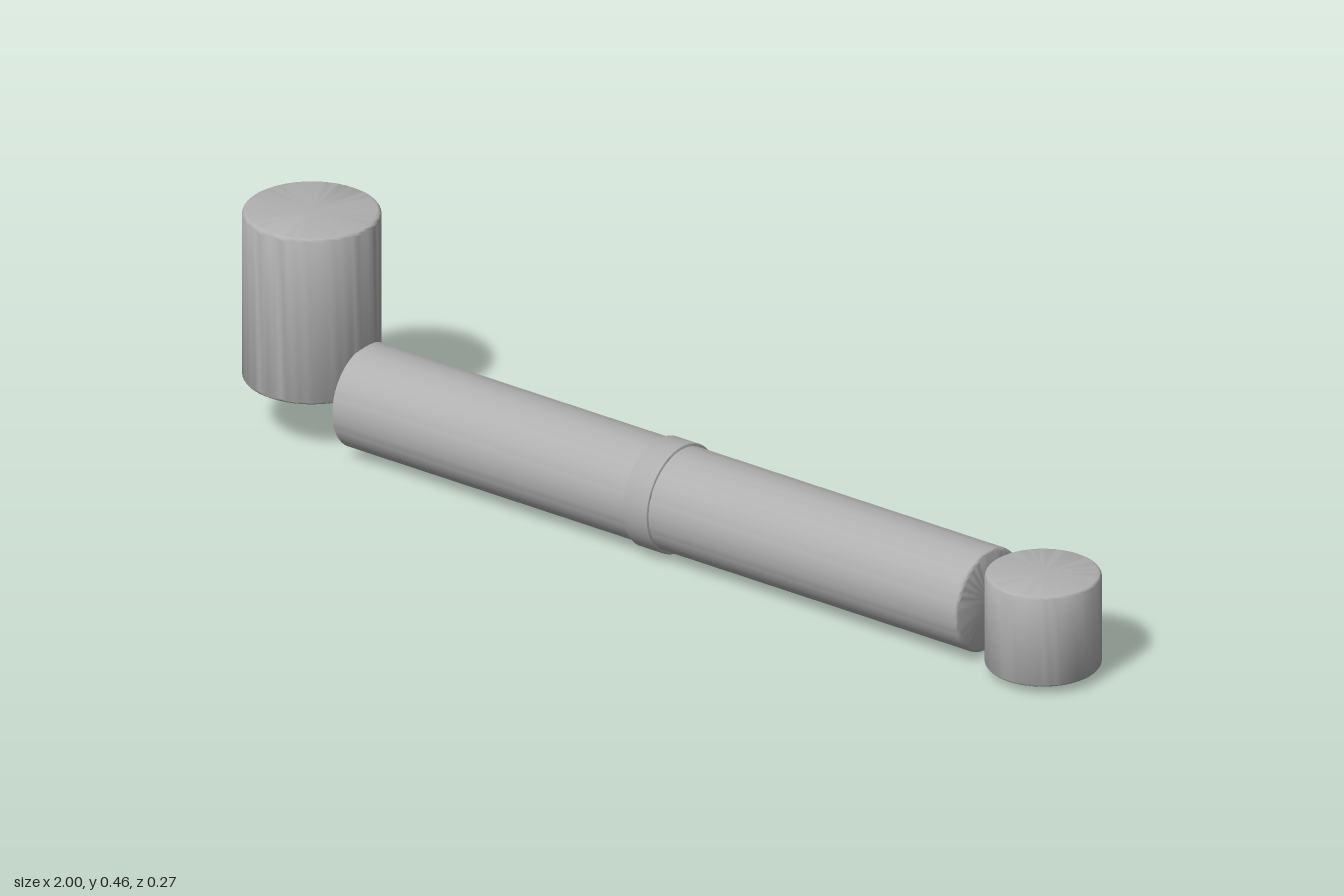
import * as THREE from 'three';
import { toCreasedNormals } from 'three/addons/utils/BufferGeometryUtils.js';

const SEGMENTS = 64;

// Closed cylinder along y from 0 to height, with rounded rims
function roundedCylinder(radius, height, bottomBevel, topBevel) {
  const points = [new THREE.Vector2(0, 0)];
  const addRim = (bevel, centreY, start) => {
    const steps = bevel > 0 ? 4 : 0;
    for (let i = 0; i <= steps; i++) {
      const a = start + (steps ? (i / steps) * Math.PI / 2 : 0);
      points.push(new THREE.Vector2(
        radius - bevel + bevel * Math.cos(a),
        centreY + bevel * Math.sin(a)
      ));
    }
  };
  addRim(bottomBevel, bottomBevel, -Math.PI / 2);
  addRim(topBevel, height - topBevel, 0);
  points.push(new THREE.Vector2(0, height));
  return toCreasedNormals(new THREE.LatheGeometry(points, SEGMENTS), 0.6);
}

export function createModel() {
  const model = new THREE.Group();
  model.name = 'jointedArm';

  const grey = new THREE.MeshStandardMaterial({ color: 0xb0b0b0 });
  grey.name = 'plain grey';

  const add = (name, geometry, x, y) => {
    const mesh = new THREE.Mesh(geometry, grey);
    mesh.name = name;
    mesh.position.set(x, y, 0);
    model.add(mesh);
    return mesh;
  };

  // Upright end cylinders
  add('tallEndCylinder', roundedCylinder(0.133, 0.35, 0.009, 0.009), -0.867, 0.112);
  add('shortEndCylinder', roundedCylinder(0.112, 0.191, 0.009, 0.009), 0.888, 0.015);

  // Horizontal arm, softened at its free end
  const arm = add('arm', roundedCylinder(0.104, 1.498, 0, 0.008), -0.738, 0.11);
  arm.rotation.z = -Math.PI / 2;

  // Thin collar round the middle of the arm
  const collar = add('collar', roundedCylinder(0.11, 0.058, 0.002, 0.002), -0.037, 0.11);
  collar.rotation.z = -Math.PI / 2;

  return model;
}
